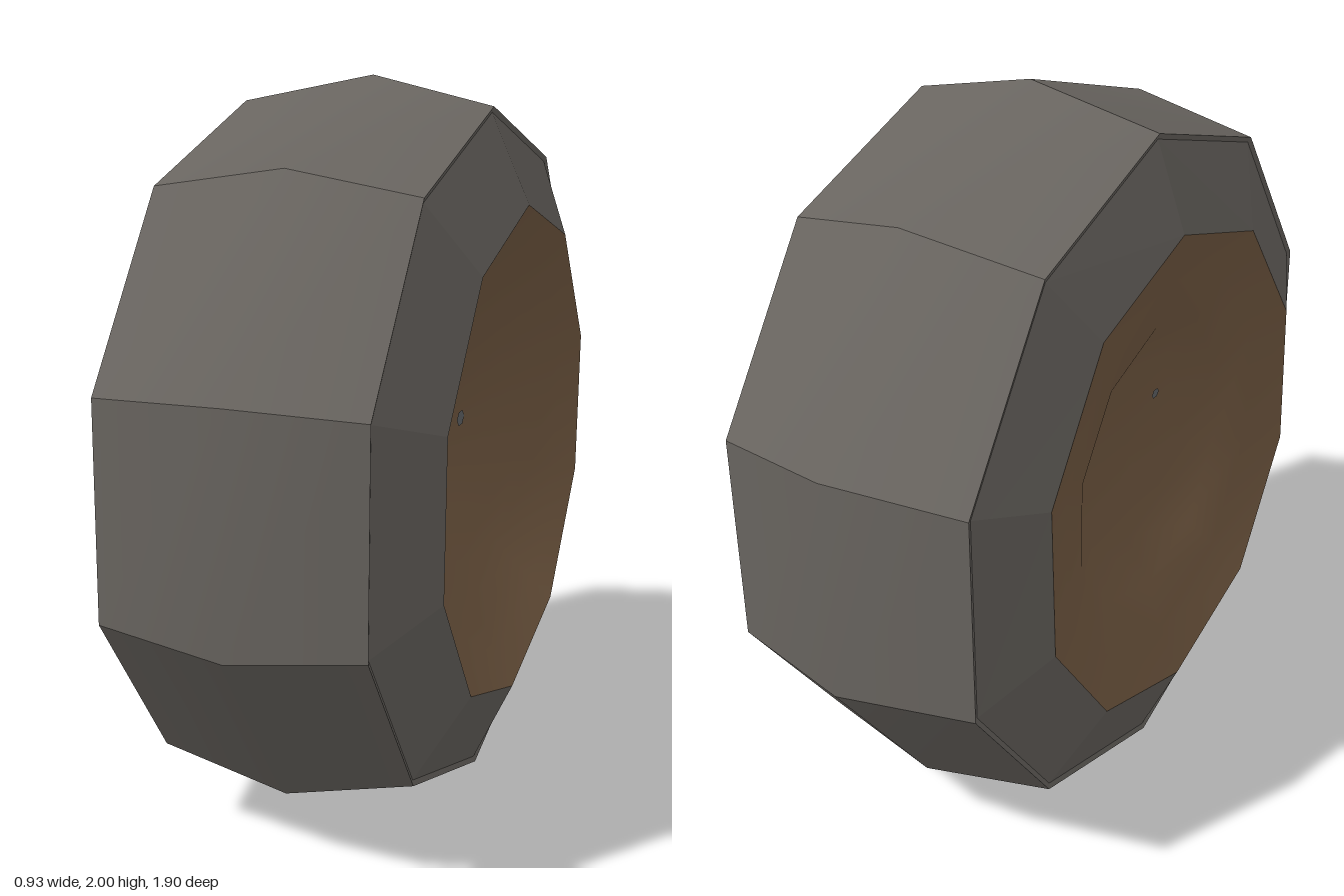
import * as THREE from 'three';
import { toCreasedNormals } from 'three/addons/utils/BufferGeometryUtils.js';

const SIDES = 10;

// Ten-sided ring around the x axis; profile points are [radius, x] from -x to +x
function ring(profile) {
  const g = new THREE.LatheGeometry(
    profile.map(([r, x]) => new THREE.Vector2(r, x)), SIDES, Math.PI / 2);
  g.rotateZ(-Math.PI / 2);
  // The wheel leans slightly, more so on its -x face
  const p = g.attributes.position;
  for (let i = 0; i < p.count; i++) {
    const x = p.getX(i), y = p.getY(i), z = p.getZ(i);
    const s = THREE.MathUtils.clamp((-x - 0.36) / 0.085, 0, 1);
    p.setX(i, x + (0.01 + 0.02 * s) * y - 0.02 * s * z);
  }
  g.translate(0, 1, 0);
  return g;
}

export function createModel() {
  const group = new THREE.Group();
  const mat = (name, color) => {
    const m = new THREE.MeshStandardMaterial({ color });
    m.name = name;
    return m;
  };
  const rubber = mat('grey rubber', 0x68645f);
  const brown = mat('brown hub', 0x765c43);
  const steel = mat('blue grey steel', 0x63676a);

  const add = (name, geometry, material) => {
    const m = new THREE.Mesh(geometry, material);
    m.name = name;
    group.add(m);
    return m;
  };
  const flat = (g) => toCreasedNormals(g, 0.01);

  // Crowned tread, smooth across its width and creased between facets
  add('tread', toCreasedNormals(ring([[0.925, -0.355], [1, 0.015], [0.925, 0.35]]), 0.52), rubber);

  // Sidewalls with a small step at the shoulder
  add('rightSidewall', flat(ring([[0.675, -0.445], [0.91, -0.35], [0.925, -0.355]])), rubber);
  add('leftSidewall', flat(ring([[0.925, 0.35], [0.91, 0.345], [0.675, 0.4525]])), rubber);

  // Dish with a raised-edge centre on the -x side
  add('steppedHub', ring([
    [0, -0.285], [0.27, -0.29], [0.4, -0.36], [0.54, -0.395], [0.675, -0.445],
  ]), brown);

  // Smooth bowl on the +x side
  const bowlX = (r) => 0.4525 - 0.25 * (1 - (r / 0.675) ** 1.6);
  const bowl = [];
  for (let i = 8; i >= 0; i--) {
    const r = 0.675 * i / 8;
    bowl.push([r, bowlX(r)]);
  }
  add('bowlHub', ring(bowl), brown);

  // Small worn flecks near the middle of each hub: side, y, z, radius
  for (const [side, y, z, size] of [
    [1, 0.14, -0.07, 0.035], [1, 0.05, -0.14, 0.033], [1, -0.07, 0.15, 0.033],
    [1, 0.05, 0.15, 0.02], [1, 0.15, 0.05, 0.018], [-1, 0.13, 0.13, 0.02],
  ]) {
    const fleck = add('fleck', new THREE.CircleGeometry(size, 6), steel);
    fleck.rotation.y = side * Math.PI / 2;
    fleck.scale.y = 0.7;
    const x = side > 0 ? bowlX(Math.hypot(y, z)) + 0.012 : -0.295;
    fleck.position.set(x, 1 + y, z);
  }
  return group;
}
